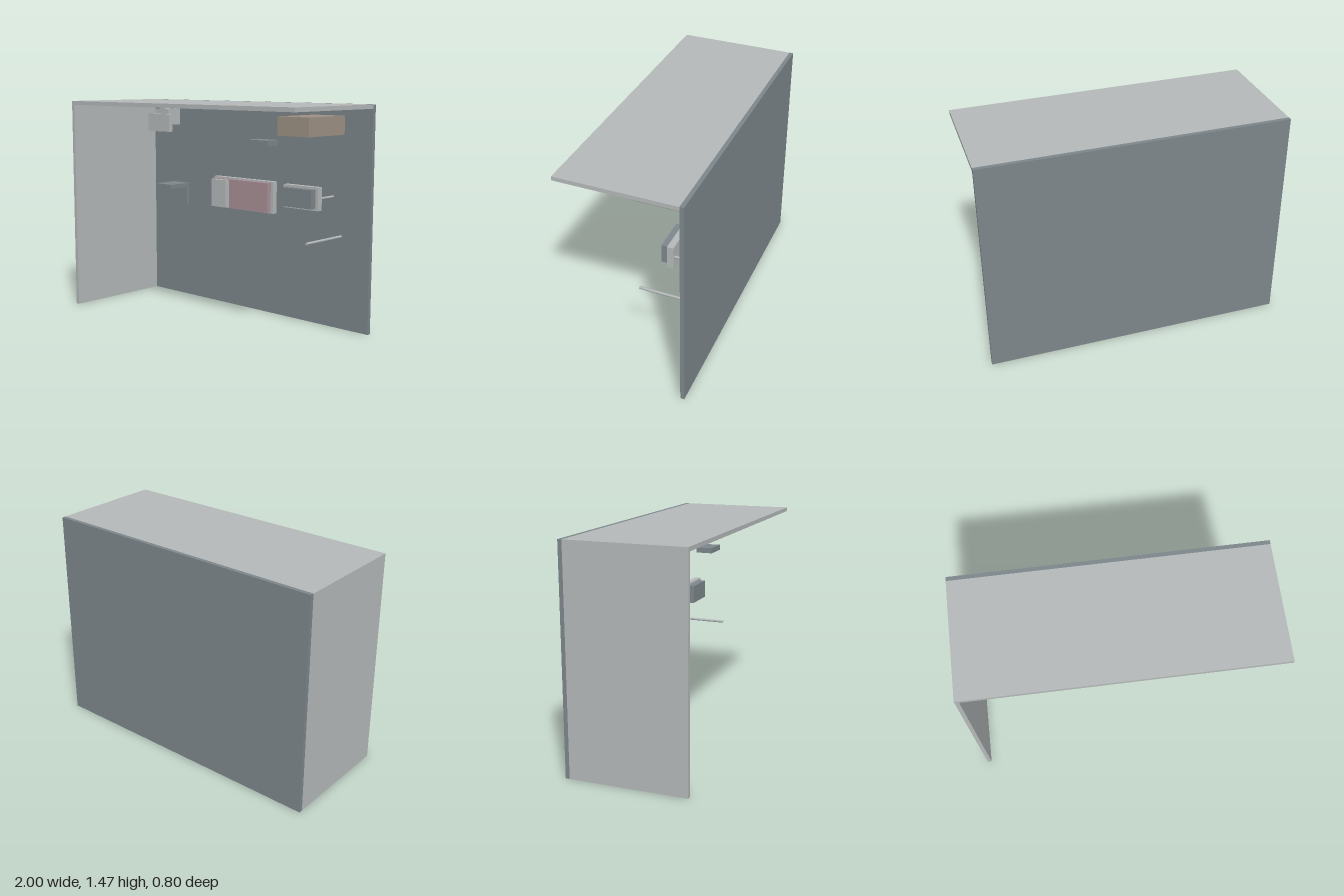
import * as THREE from 'three';

export function createModel() {
  const model = new THREE.Group();
  model.name = 'openBooth';

  const material = (name, color) => {
    const m = new THREE.MeshStandardMaterial({ color });
    m.name = name;
    return m;
  };
  const lightGrey = material('lightGrey', 0xb4b8b8);
  const slate = material('slateGrey', 0x7c868a);
  const pink = material('dustyPink', 0xa88f96);
  const tan = material('tan', 0x9c9083);

  // Box given by its extents along each axis
  const box = (name, mat, [x0, x1], [y0, y1], [z0, z1], parent = model) => {
    const mesh = new THREE.Mesh(new THREE.BoxGeometry(x1 - x0, y1 - y0, z1 - z0), mat);
    mesh.position.set((x0 + x1) / 2, (y0 + y1) / 2, (z0 + z1) / 2);
    mesh.name = name;
    parent.add(mesh);
  };
  // Thin round rod running along z
  const rod = (name, x, y, [z0, z1], radius, parent = model) => {
    const geometry = new THREE.CylinderGeometry(radius, radius, z1 - z0, 8).rotateX(Math.PI / 2);
    const mesh = new THREE.Mesh(geometry, lightGrey);
    mesh.position.set(x, y, (z0 + z1) / 2);
    mesh.name = name;
    parent.add(mesh);
  };
  const group = (name) => {
    const g = new THREE.Group();
    g.name = name;
    model.add(g);
    return g;
  };

  // Shell: back wall, one side wall and roof
  box('backWall', slate, [-1, 1], [0, 1.465], [-0.4, -0.373]);
  box('sideWall', lightGrey, [-1, -0.973], [0, 1.438], [-0.373, 0.4]);
  box('roof', lightGrey, [-1, 1], [1.438, 1.465], [-0.373, 0.4]);

  // Wide framed panel with a pale section on one side
  const widePanel = group('widePanel');
  box('widePanelFrame', lightGrey, [-0.17, 0.36], [0.737, 0.95], [-0.225, -0.186], widePanel);
  box('widePanelFace', pink, [-0.152, 0.341], [0.745, 0.942], [-0.186, -0.15], widePanel);
  box('widePanelSection', lightGrey, [-0.132, 0], [0.75, 0.938], [-0.15, -0.115], widePanel);

  // Small framed panel held off the wall by two rods
  const smallPanel = group('smallPanel');
  box('smallPanelFrame', lightGrey, [0.455, 0.733], [0.793, 0.944], [-0.221, -0.18], smallPanel);
  box('smallPanelFace', slate, [0.48, 0.713], [0.807, 0.93], [-0.18, -0.135], smallPanel);
  for (const x of [0.477, 0.711]) rod('panelRod', x, 0.867, [-0.373, -0.221], 0.008, smallPanel);

  // Small shelf with a plate hanging from its rear edge
  const shelf = group('shelf');
  box('shelfTop', slate, [-0.665, -0.515], [0.838, 0.866], [-0.275, -0.095], shelf);
  box('shelfPlate', slate, [-0.665, -0.515], [0.71, 0.838], [-0.275, -0.254], shelf);

  // Upper fixtures
  const fixture = group('upperFixture');
  box('fixturePlate', lightGrey, [-0.77, -0.553], [1.243, 1.368], [-0.148, -0.115], fixture);
  box('fixtureBody', lightGrey, [-0.727, -0.596], [1.29, 1.404], [-0.267, -0.148], fixture);
  box('tanBox', tan, [0.544, 0.79], [1.27, 1.39], [-0.373, -0.002]);
  box('smallBlock', slate, [0.34, 0.508], [1.203, 1.239], [-0.06, 0.051]);

  // Hanging rod projecting from the back wall
  rod('hangingRod', 0.777, 0.612, [-0.373, -0.012], 0.009);

  return model;
}
